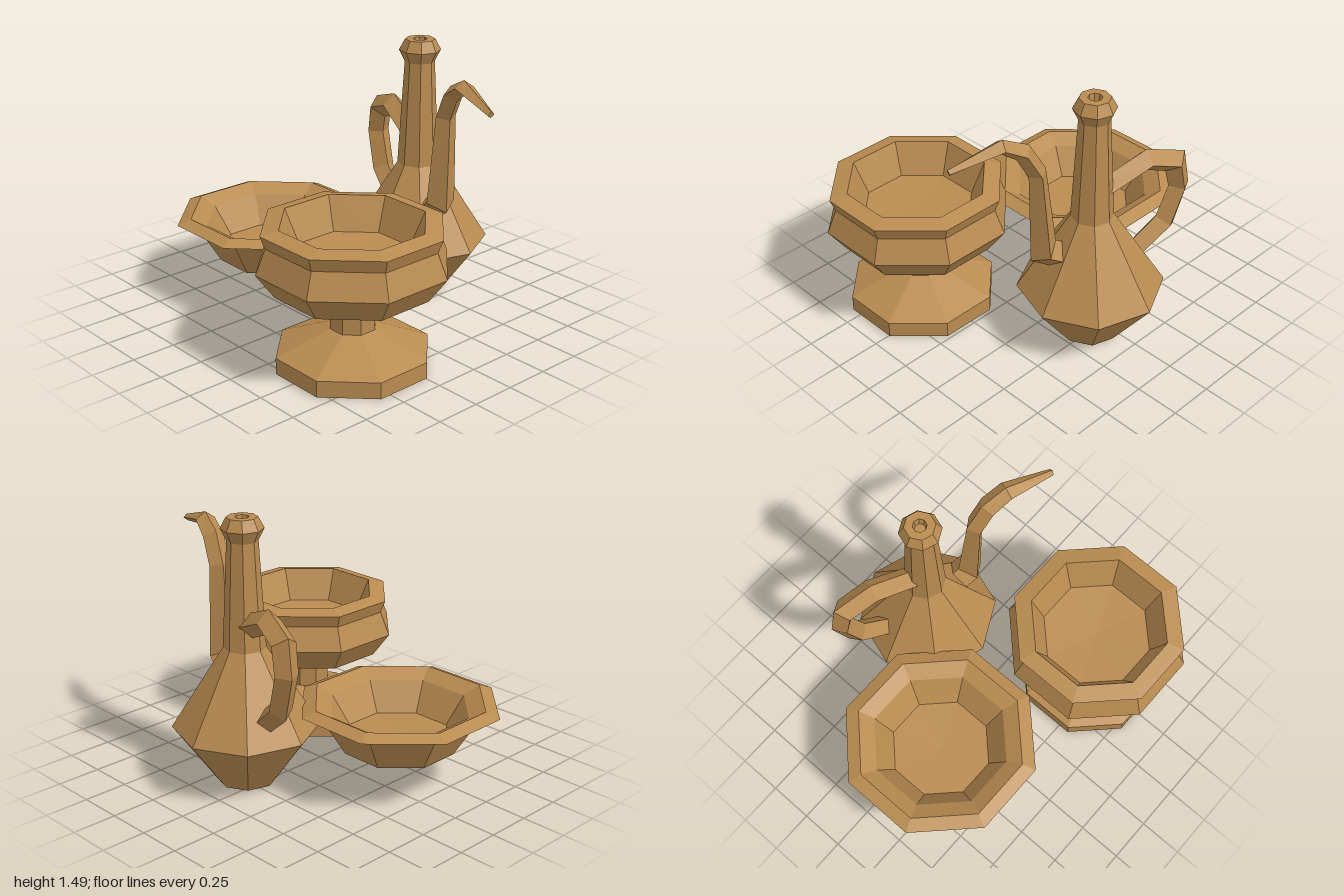
import * as THREE from 'three';

const clay = new THREE.MeshStandardMaterial({ color: 0xb98b50, flatShading: true });
clay.name = 'clay';

const FLAT = 1 / Math.cos(Math.PI / 8); // flat-to-flat half width -> corner radius

// Eight-sided turned vessel with flat sides facing the axes
function turned(name, profile, scale = 1) {
  const pts = profile.map(([r, y]) => new THREE.Vector2(r * scale, y));
  const mesh = new THREE.Mesh(new THREE.LatheGeometry(pts, 8, Math.PI / 8), clay);
  mesh.name = name;
  return mesh;
}

// Four-sided capped tube along a path in the yz plane; stations: [z, y, half width, half depth]
function sweptTube(name, stations) {
  const centres = stations.map(([z, y]) => new THREE.Vector3(0, y, z));
  const side = new THREE.Vector3(1, 0, 0);
  const positions = [], index = [];
  const last = stations.length - 1;
  stations.forEach(([, , w, d], k) => {
    const before = centres[k].clone().sub(centres[Math.max(k - 1, 0)]).normalize();
    const after = centres[Math.min(k + 1, last)].clone().sub(centres[k]).normalize();
    const normal = before.add(after).normalize().cross(side);
    for (let i = 0; i < 4; i++) {
      const a = i * Math.PI / 2;
      const p = centres[k].clone()
        .addScaledVector(side, w * Math.cos(a))
        .addScaledVector(normal, d * Math.sin(a));
      positions.push(p.x, p.y, p.z);
      if (k < last) {
        const j = (i + 1) % 4, b = k * 4;
        index.push(b + i, b + j, b + 4 + j, b + i, b + 4 + j, b + 4 + i);
      }
    }
  });
  const e = last * 4;
  index.push(0, 3, 2, 0, 2, 1, e, e + 1, e + 2, e, e + 2, e + 3);
  const geo = new THREE.BufferGeometry();
  geo.setAttribute('position', new THREE.Float32BufferAttribute(positions, 3));
  geo.setIndex(index);
  geo.computeVertexNormals();
  const mesh = new THREE.Mesh(geo, clay);
  mesh.name = name;
  return mesh;
}

export function createModel() {
  const model = new THREE.Group();
  model.name = 'potterySet';

  // Footed bowl: broad foot, narrow stem, faceted cup with hollow inside
  const bowl = turned('footedBowl', [
    [0, 0], [0.385, 0], [0.385, 0.09], [0.115, 0.21], [0.115, 0.33],
    [0.385, 0.43], [0.475, 0.565], [0.425, 0.70], [0.45, 0.77],
    [0.36, 0.79], [0.285, 0.61], [0, 0.59],
  ], FLAT);
  bowl.position.set(-0.405, 0, 0.52);
  model.add(bowl);

  // Shallow dish with a flared rim
  const dish = turned('dish', [
    [0, 0.205], [0.29, 0.205], [0.40, 0.40], [0.517, 0.45],
    [0.445, 0.48], [0.36, 0.43], [0.265, 0.27], [0, 0.26],
  ], FLAT);
  dish.position.set(-0.12, 0, -0.483);
  model.add(dish);

  // Jug: the spout points along local +z, the handle along -z
  const jug = new THREE.Group();
  jug.name = 'jug';
  jug.position.set(0.48, 0, 0.08);
  jug.rotation.y = -0.314;
  jug.add(turned('jugBody', [
    [0, 0.015], [0.165, 0.015], [0.40, 0.33], [0.115, 0.78], [0.083, 1.365],
    [0.115, 1.43], [0.083, 1.49], [0.038, 1.49], [0.03, 1.45], [0, 1.45],
  ]));
  jug.add(sweptTube('spout', [
    [0.17, 0.57, 0.085, 0.075], [0.285, 0.64, 0.085, 0.085], [0.32, 1.14, 0.06, 0.05],
    [0.40, 1.285, 0.06, 0.05], [0.515, 1.35, 0.055, 0.04], [0.797, 1.285, 0.02, 0.018],
  ]));
  jug.add(sweptTube('handle', [
    [-0.08, 0.925, 0.065, 0.065], [-0.32, 1.025, 0.068, 0.066], [-0.495, 0.965, 0.068, 0.075],
    [-0.525, 0.81, 0.066, 0.063], [-0.45, 0.595, 0.066, 0.07], [-0.28, 0.465, 0.062, 0.062],
  ]));
  model.add(jug);

  return model;
}
